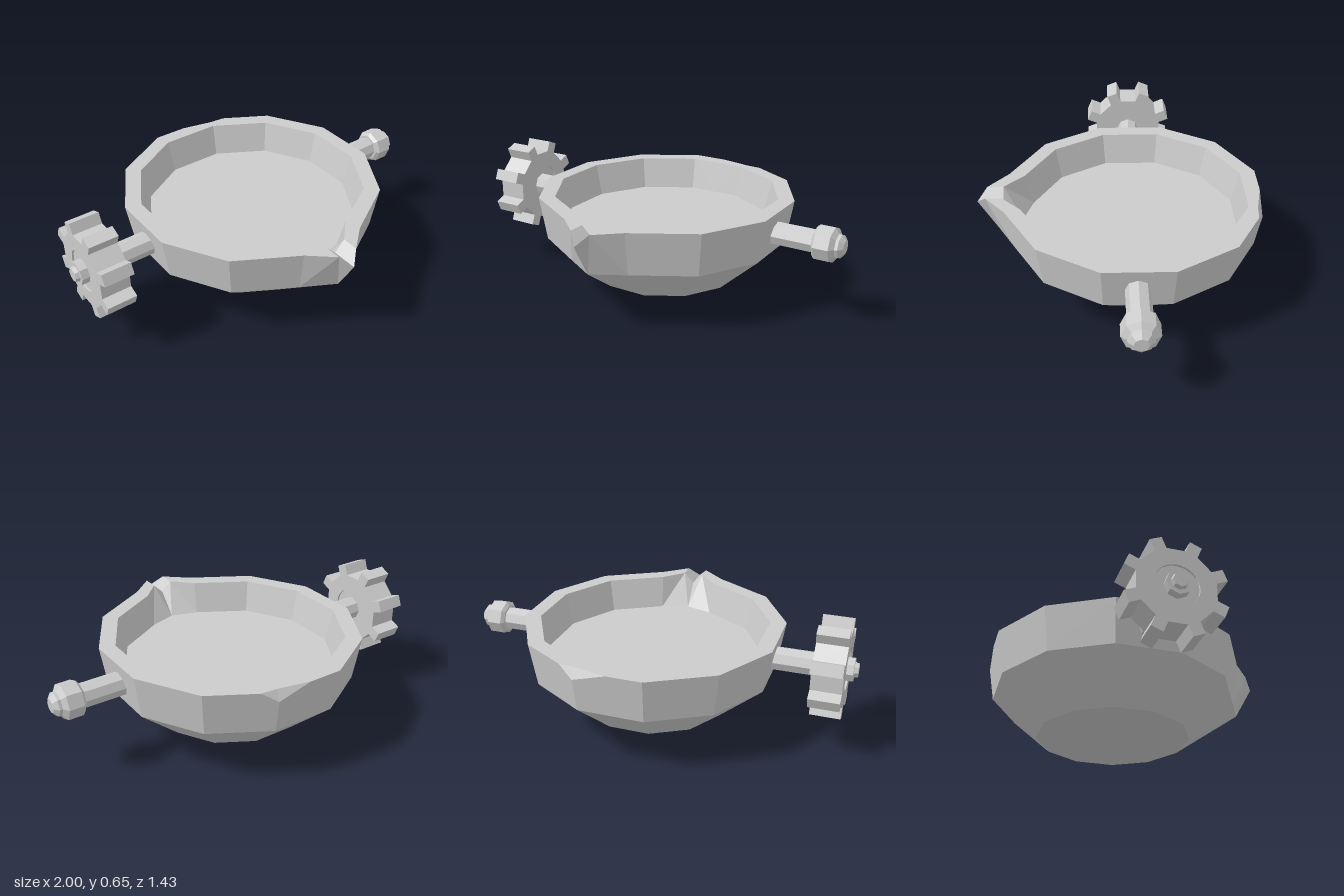
import * as THREE from 'three';

const CX = 0.026, CZ = -0.076;          // bowl centre
const AXLE_Y = 0.413, AXLE_Z = -0.074;
const RIM_Y = 0.528, FLOOR_Y = 0.365;

const material = new THREE.MeshStandardMaterial({ color: 0xcccccc, flatShading: true });

function addMesh(parent, name, geometry) {
  const mesh = new THREE.Mesh(geometry, material);
  mesh.name = name;
  parent.add(mesh);
}

// Point on a 12-sided ring; u counts corners, fractions lie along an edge.
function ringPoint(u, radius, y) {
  const corner = (i) => {
    const a = THREE.MathUtils.degToRad(15 + 30 * i);
    return new THREE.Vector3(CX + radius * Math.sin(a), y, CZ + radius * Math.cos(a));
  };
  const i = Math.floor(u);
  return corner(i).lerp(corner(i + 1), u - i);
}

// Skin a loop of columns, each listing its points from outer bottom to inner floor.
// Diagonals are mirrored left to right so both sides of the spout match.
function skinColumns(columns) {
  const pos = [];
  const tri = (a, b, c) => {
    const area = new THREE.Vector3().crossVectors(b.clone().sub(a), c.clone().sub(a)).length();
    if (area > 1e-7) for (const p of [a, b, c]) pos.push(p.x, p.y, p.z);
  };
  columns.forEach((col, j) => {
    const next = columns[(j + 1) % columns.length];
    for (let r = 0; r < col.length - 1; r++) {
      const [a, b, c, d] = [col[r], next[r], next[r + 1], col[r + 1]];
      const onLeft = a.x + b.x + c.x + d.x > 4 * CX;
      if (onLeft === r < 4) {
        tri(a, b, d);
        tri(b, c, d);
      } else {
        tri(a, b, c);
        tri(a, c, d);
      }
    }
  });
  const geo = new THREE.BufferGeometry();
  geo.setAttribute('position', new THREE.Float32BufferAttribute(pos, 3));
  geo.computeVertexNormals();
  return geo;
}

function bowlGeometry() {
  const V = (x, y, z) => new THREE.Vector3(x, y, z);
  const apex = V(CX, 0, CZ), floorCentre = V(CX, FLOOR_Y, CZ);

  // Regular columns, with extra ones either side of the chipped corner (5)
  const columns = [0, 1, 2, 3, 4, 4.75, 5, 5.5, 6, 7, 8, 9, 10, 11].map((u) => {
    const chipped = u === 5;
    return [
      apex,
      ringPoint(u, 0.393, 0.096),
      ringPoint(u, 0.626, 0.306),
      chipped ? ringPoint(u, 0.653, 0.476) : ringPoint(u, 0.662, RIM_Y),
      chipped ? V(0.19, RIM_Y, -0.68) : ringPoint(u, 0.662, RIM_Y),
      ringPoint(u, 0.58, RIM_Y),
      ringPoint(u, 0.54, FLOOR_Y),
      floorCentre,
    ];
  });

  // Pouring spout: two lips with a V groove between them
  for (const side of [-1, 0, 1]) {
    const x = CX + side * 0.052;
    const y = side ? RIM_Y : 0.475;
    const outer = V(x, y, side ? 0.667 : 0.716);
    columns.push([
      apex,
      ringPoint(11.5, 0.393, 0.096),
      V(CX, 0.306, 0.62),
      outer,
      outer,
      V(x, y, 0.585),
      V(CX, FLOOR_Y, 0.49),
      floorCentre,
    ]);
  }
  return skinColumns(columns);
}

// Turned part along x; profile lists [x, radius] with x rising
function turned(profile, sides = 8) {
  const geo = new THREE.LatheGeometry(profile.map(([x, r]) => new THREE.Vector2(r, x)), sides);
  return geo.rotateZ(-Math.PI / 2).translate(0, AXLE_Y, AXLE_Z);
}

function gearGeometry(x0, x1) {
  // Eight tapered teeth
  const points = [];
  for (let i = 0; i < 8; i++) {
    for (const [offset, r] of [[-9, 0.188], [-7, 0.244], [7, 0.244], [9, 0.188]]) {
      const a = THREE.MathUtils.degToRad(22.5 + 45 * i + offset);
      points.push(new THREE.Vector2(r * Math.cos(a), r * Math.sin(a)));
    }
  }
  const shape = new THREE.Shape(points);
  // Round opening for the recessed hub
  shape.holes.push(new THREE.Path().absarc(0, 0, 0.105, 0, Math.PI * 2, true));
  const geo = new THREE.ExtrudeGeometry(shape, { depth: x1 - x0, bevelEnabled: false, curveSegments: 16 });
  return geo.rotateY(Math.PI / 2).translate(x0, AXLE_Y, AXLE_Z);
}

export function createModel() {
  const model = new THREE.Group();
  model.name = 'tiltingCrucible';

  addMesh(model, 'bowl', bowlGeometry());

  // Gear side
  const drive = new THREE.Group();
  drive.name = 'gearSide';
  model.add(drive);
  addMesh(drive, 'gearAxle', turned([
    [-1, 0], [-1, 0.035], [-0.98, 0.04], [-0.98, 0.06], [-0.57, 0.06], [-0.57, 0],
  ]));
  addMesh(drive, 'gear', gearGeometry(-0.95, -0.8));
  addMesh(drive, 'gearHub', turned([[-0.94, 0], [-0.94, 0.106], [-0.81, 0.106], [-0.81, 0]], 16));

  // Plain pivot side with its collar and domed end
  const pivot = new THREE.Group();
  pivot.name = 'pivotSide';
  model.add(pivot);
  addMesh(pivot, 'pivotAxle', turned([[0.6, 0], [0.6, 0.06], [0.98, 0.06], [1, 0.035], [1, 0]]));
  addMesh(pivot, 'pivotCollar', turned([
    [0.855, 0.06], [0.855, 0.072], [0.87, 0.089], [0.945, 0.089], [0.965, 0.06],
  ]));

  return model;
}
